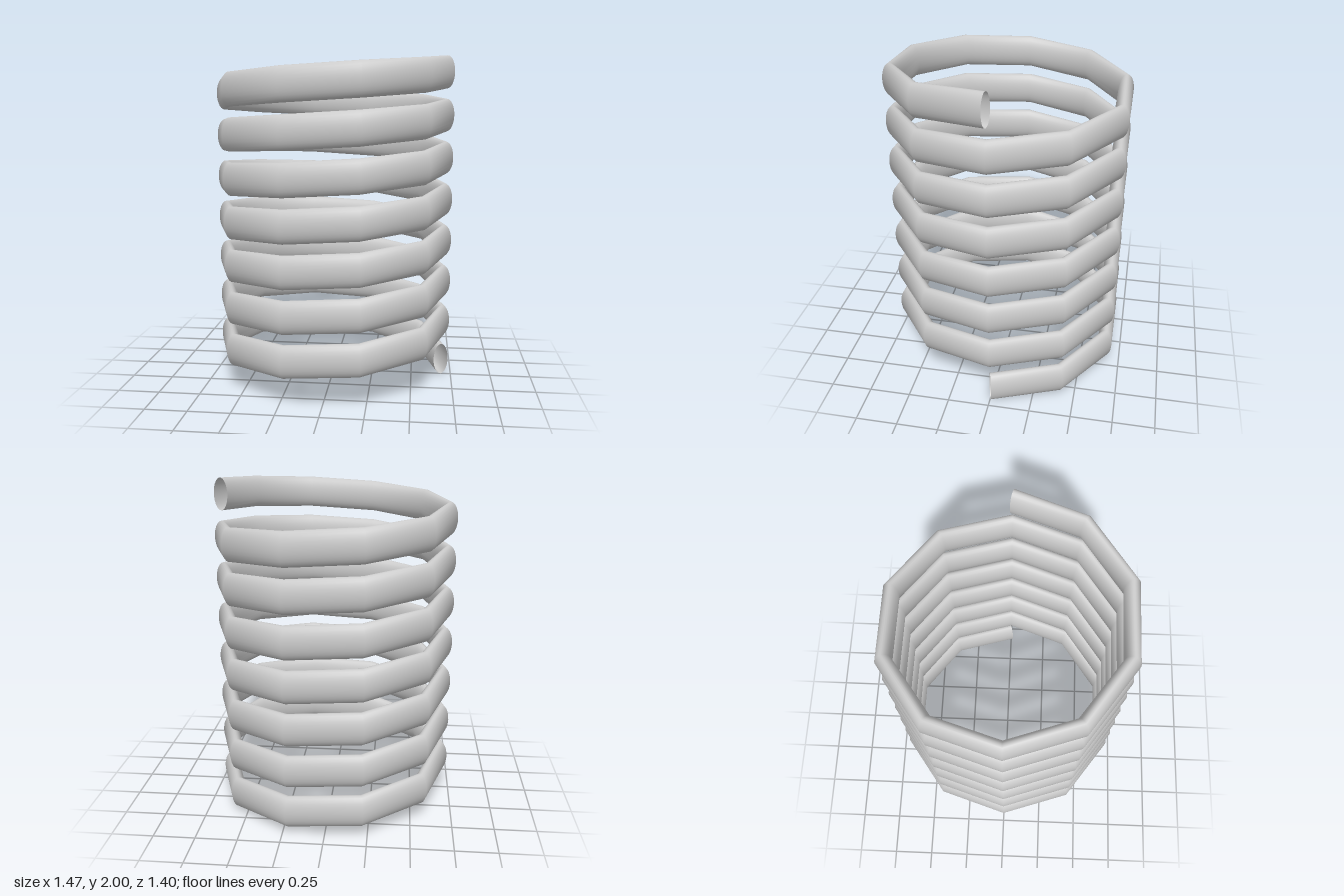
import * as THREE from 'three';
import { mergeVertices } from 'three/addons/utils/BufferGeometryUtils.js';

const TURNS = 7, SIDES = 10, RADIUS = 0.687;      // ten straight lengths per turn
const HALF_WIDTH = 0.047, HALF_HEIGHT = 0.098;    // elliptical wire section
const Y_START = 0.1, Y_END = 1.9;

// Wrap a flat grid into an open elliptical tube that follows a ten-sided helix.
function coilGeometry() {
  const rings = TURNS * SIDES;
  const step = (Math.PI * 2) / SIDES;
  const geometry = new THREE.PlaneGeometry(1, 1, rings, 28);
  const pos = geometry.attributes.position;
  for (let i = 0; i < pos.count; i++) {
    const along = pos.getX(i) + 0.5;
    const around = (pos.getY(i) + 0.5) * Math.PI * 2;
    const ring = Math.round(along * rings);
    const angle = ring * step;
    // Joints are mitred; the two ends are cut square to their last length.
    let facing = angle;
    if (ring === 0) facing += step / 2;
    if (ring === rings) facing -= step / 2;
    const out = HALF_WIDTH * Math.cos(around);
    pos.setXYZ(
      i,
      RADIUS * Math.cos(angle) + out * Math.cos(facing),
      THREE.MathUtils.lerp(Y_START, Y_END, along) + HALF_HEIGHT * Math.sin(around),
      -RADIUS * Math.sin(angle) - out * Math.sin(facing)
    );
  }
  // Weld the lengthwise seam so the shading stays smooth all round.
  geometry.deleteAttribute('uv');
  geometry.deleteAttribute('normal');
  const welded = mergeVertices(geometry, 1e-4);
  welded.computeVertexNormals();
  return welded;
}

export function createModel() {
  const group = new THREE.Group();
  group.name = 'spring';
  const material = new THREE.MeshStandardMaterial({ color: 0xcccccc, side: THREE.DoubleSide });
  const coil = new THREE.Mesh(coilGeometry(), material);
  coil.name = 'coil';
  group.add(coil);
  return group;
}
